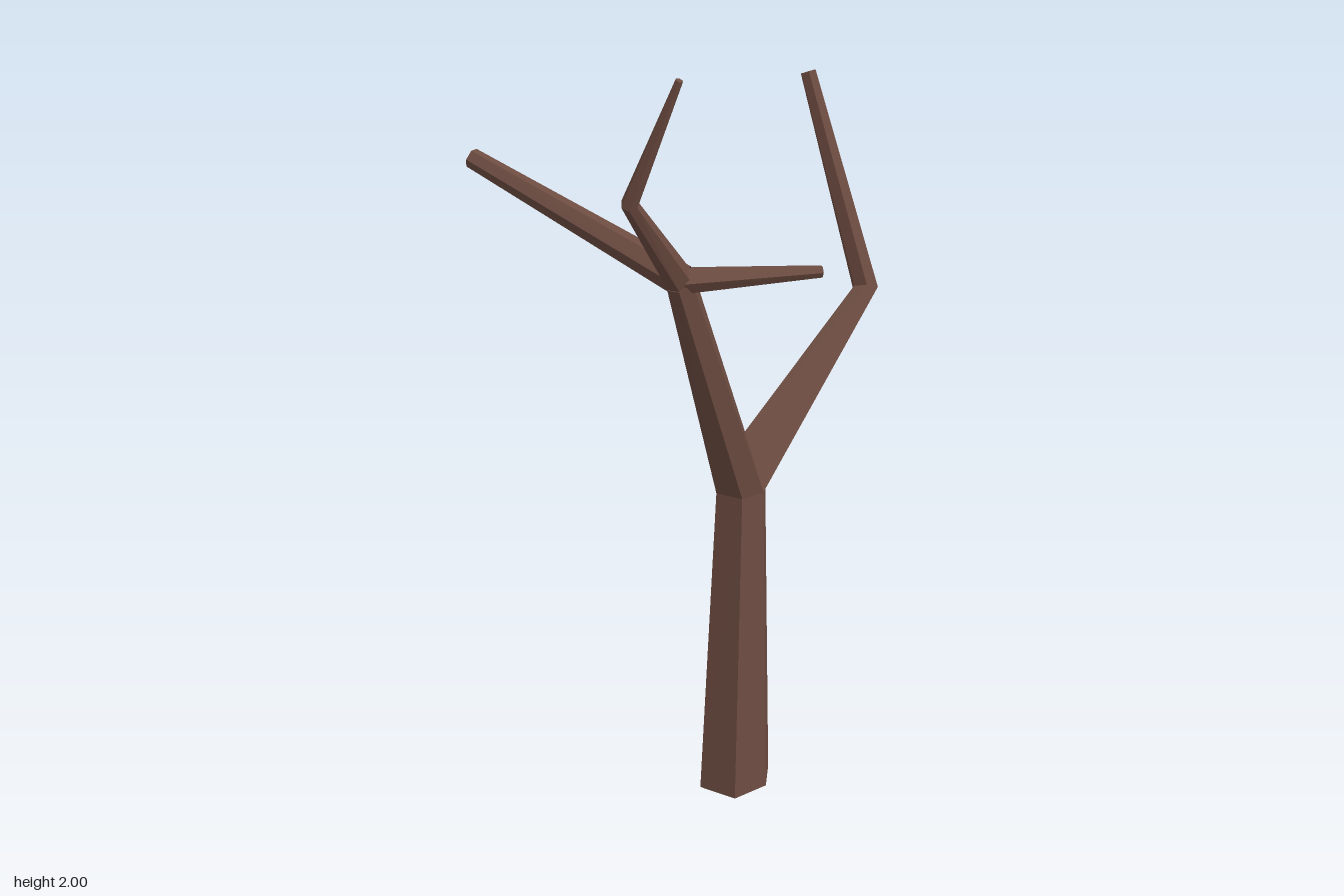
import * as THREE from 'three';

const V = (x, y, z) => new THREE.Vector3(x, y, z);

// six-sided cross-section from a centre and two half-axes
const HEX = [[-0.5, 1], [0.5, 1], [1, 0], [0.5, -1], [-0.5, -1], [-1, 0]];
function ring(c, u, v) {
  return HEX.map(([a, b]) => V(...c).addScaledVector(u, a).addScaledVector(v, b));
}

// skin a series of cross-sections, optionally closing the far end
function loft(name, rings, material, capped = true) {
  const [p, q, r] = rings[0];
  const facing = q.clone().sub(p).cross(r.clone().sub(p));
  if (facing.dot(rings[1][0].clone().sub(p)) < 0) rings = rings.map((s) => [...s].reverse());
  const n = rings[0].length;
  const index = [];
  for (let k = 0; k < rings.length - 1; k++) {
    for (let i = 0; i < n; i++) {
      const a = k * n + i, b = k * n + (i + 1) % n;
      index.push(a, b, b + n, a, b + n, a + n);
    }
  }
  const end = (rings.length - 1) * n;
  if (capped) for (let i = 1; i < n - 1; i++) index.push(end, end + i, end + i + 1);
  let geo = new THREE.BufferGeometry().setFromPoints(rings.flat());
  geo.setIndex(index);
  geo = geo.toNonIndexed();
  geo.computeVertexNormals();
  const mesh = new THREE.Mesh(geo, material);
  mesh.name = name;
  return mesh;
}

export function createModel() {
  const tree = new THREE.Group();
  tree.name = 'bareTree';
  const bark = new THREE.MeshStandardMaterial({ color: 0x6d4c41, flatShading: true, side: THREE.DoubleSide });
  bark.name = 'bark brown';

  // trunk, hollow at the foot
  const foot = [V(0.095, 0, 0.068), V(0.203, 0, 0.078), V(0.245, 0, -0.022),
    V(0.205, 0, -0.118), V(0.093, 0, -0.113), V(0.075, 0, -0.022)];
  const neck = [V(0.123, 0.84, 0.04), V(0.198, 0.84, 0.044), V(0.225, 0.84, -0.022),
    V(0.198, 0.84, -0.088), V(0.123, 0.84, -0.085), V(0.115, 0.84, -0.022)];
  tree.add(loft('trunk', [foot, neck], bark, false));

  // the two main arms share a raised ridge in the crotch
  const ridgeR = V(0.195, 0.93, -0.022), ridgeL = V(0.127, 0.93, -0.022);
  tree.add(loft('frontArm', [
    [neck[0], neck[1], neck[2], ridgeR, ridgeL, neck[5]],
    ring([0.16, 1.47, 0.3], V(0.031, 0, 0), V(0, -0.014, 0.036)),
  ], bark));
  tree.add(loft('backArm', [
    [neck[4], neck[3], neck[2], ridgeR, ridgeL, neck[5]],
    ring([0.27, 1.252, -0.531], V(0.036, 0.006, 0), V(0, -0.014, -0.032)),
    ring([0.09, 1.81, -0.532], V(0.021, 0.007, 0), V(0, 0, -0.018)),
  ], bark));

  // three thinner branches at the end of the front arm
  tree.add(loft('rightBranch', [
    ring([0.165, 1.473, 0.3], V(0, 0, 0.038), V(0.012, 0.032, 0)),
    ring([-0.417, 1.696, 0.287], V(0, 0, 0.023), V(0.008, 0.02, 0)),
  ], bark));
  tree.add(loft('leftBranch', [
    ring([0.16, 1.473, 0.302], V(0.022, 0, 0.024), V(0, 0.028, 0)),
    ring([0.416, 1.473, 0.077], V(0.01, 0, 0.01), V(0, 0.013, 0)),
  ], bark));
  tree.add(loft('frontBranch', [
    ring([0.16, 1.475, 0.305], V(0.03, 0, 0), V(0, -0.024, 0.024)),
    ring([0.164, 1.71, 0.543], V(0.02, -0.006, 0), V(0, -0.008, 0.018)),
    ring([0.287, 1.993, 0.542], V(0.008, -0.004, 0), V(0, 0, 0.009)),
  ], bark));

  return tree;
}
